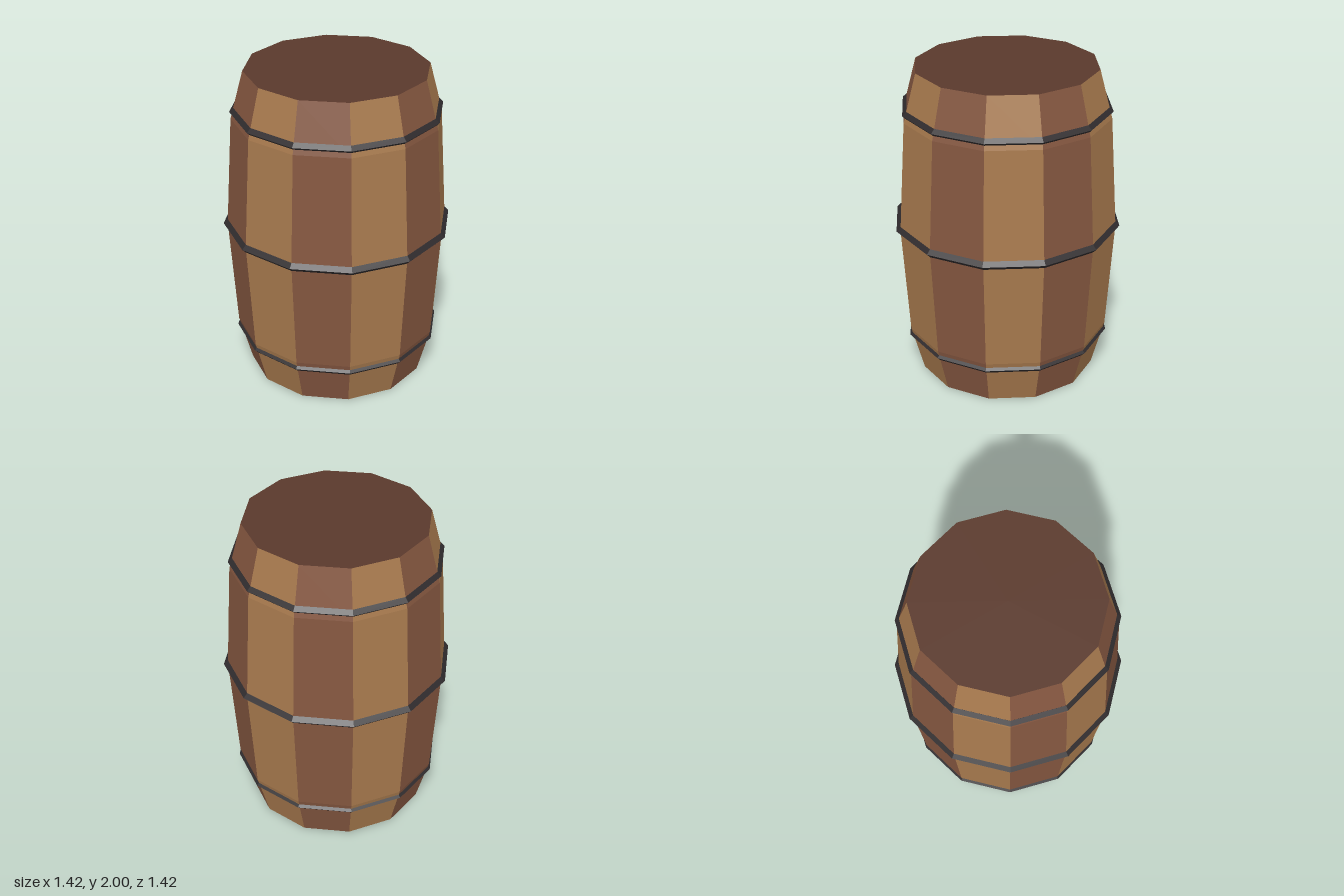
import * as THREE from 'three';

function makeMaterial(name, color) {
  const material = new THREE.MeshStandardMaterial({ color, flatShading: true });
  material.name = name;
  return material;
}

export function createModel() {
  const barrel = new THREE.Group();
  barrel.name = 'barrel';

  const lightWood = makeMaterial('light wood', 0xa87a4e);
  const redWood = makeMaterial('reddish wood', 0x855740);
  const lidWood = makeMaterial('dark lid wood', 0x5a392c);
  const iron = makeMaterial('dark iron', 0x2f2b2d);

  const SIDES = 12;
  const step = (Math.PI * 2) / SIDES;
  const add = (name, geometry, material) => {
    const mesh = new THREE.Mesh(geometry, material);
    mesh.name = name;
    barrel.add(mesh);
    return mesh;
  };

  // Bulging staves, alternating between two woods
  const profile = [[0.56, 0], [0.64, 0.3], [0.685, 1], [0.64, 1.7], [0.56, 2]]
    .map(([r, y]) => new THREE.Vector2(r, y));
  for (let i = 0; i < SIDES; i++) {
    const stave = new THREE.LatheGeometry(profile, 1, i * step, step);
    add('stave', stave, i % 2 ? lightWood : redWood);
  }

  // Flat lids closing both ends
  for (const [name, y, turn] of [['topLid', 2, -1], ['bottomLid', 0, 1]]) {
    const lid = add(name, new THREE.CircleGeometry(0.56, SIDES), lidWood);
    lid.rotation.x = turn * Math.PI / 2;
    lid.position.y = y;
  }

  // Iron hoops with a diamond section
  const hoops = [
    ['lowerHoop', 0.255, 0.622, 0.025],
    ['middleHoop', 1, 0.68, 0.03],
    ['upperHoop', 1.745, 0.622, 0.025],
  ];
  for (const [name, y, radius, tube] of hoops) {
    const hoop = add(name, new THREE.TorusGeometry(radius, tube, 4, SIDES), iron);
    hoop.rotation.x = Math.PI / 2;
    hoop.position.y = y;
  }

  return barrel;
}
